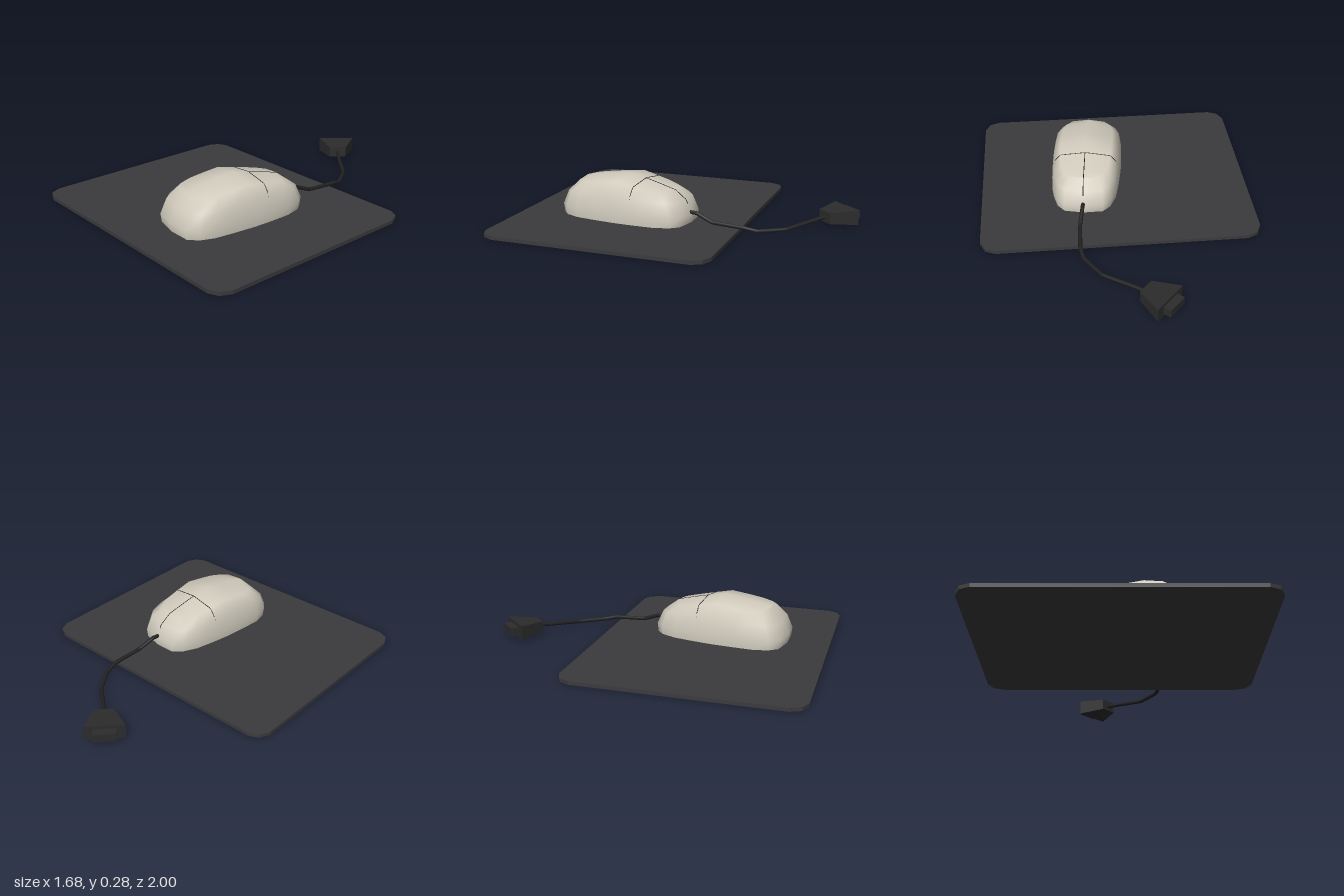
import * as THREE from 'three';
import { mergeVertices } from 'three/addons/utils/BufferGeometryUtils.js';

const paint = (color, opts = {}) => new THREE.MeshStandardMaterial({ color, ...opts });

function part(name, geometry, material) {
  const mesh = new THREE.Mesh(geometry, material);
  mesh.name = name;
  return mesh;
}

// Piecewise linear lookup in [[x, y], ...]
function lerpTable(table, x) {
  let i = 1;
  while (i < table.length - 1 && x > table[i][0]) i++;
  const [x0, y0] = table[i - 1], [x1, y1] = table[i];
  return y0 + (y1 - y0) * THREE.MathUtils.clamp((x - x0) / (x1 - x0), 0, 1);
}

// Flat mat with two-step corners
function matGeometry() {
  const w = 0.84, h = 0.685, corner = [[0, 0.09], [0.03, 0.027], [0.09, 0]];
  const pts = [];
  for (const [sx, sy] of [[1, 1], [-1, 1], [-1, -1], [1, -1]]) {
    const c = corner.map(([a, b]) => new THREE.Vector2(sx * (w - a), sy * (h - b)));
    pts.push(...(sx * sy > 0 ? c : c.reverse()));
  }
  const geo = new THREE.ExtrudeGeometry(new THREE.Shape(pts), { depth: 0.022, bevelEnabled: false });
  return geo.rotateX(-Math.PI / 2).translate(0, 0, 0.315);
}

// Mouse shell: plan outline stacked in shrinking rings up to a central ridge
function shellGeometry() {
  const half = [[0, -0.417], [0.12, -0.402], [0.167, -0.352], [0.2, -0.257], [0.214, -0.13],
    [0.222, -0.01], [0.221, 0.13], [0.216, 0.257], [0.189, 0.345], [0.141, 0.397], [0, 0.413]];
  const outline = [...half, ...half.slice(1, -1).reverse().map(([x, z]) => [-x, z])];
  const ridge = [[-0.31, 0.21], [-0.155, 0.25], [0, 0.285], [0.2, 0.258], [0.31, 0.236]];
  const shoulder = (x, z) => lerpTable(ridge, z) - 0.022 * (x / 0.16) ** 2;
  const rings = [
    (x, z) => [x * 0.98, 0.02, z * 0.985],
    (x, z) => [x, 0.075, z],
    (x, z) => [x * 0.94, 0.185 - 0.025 * (z / 0.4) ** 2, z * 0.91],
    (x, z) => [x * 0.74, shoulder(x * 0.74, z * 0.74), z * 0.74],
    (x, z) => [0, lerpTable(ridge, z * 0.74), z * 0.74],
  ];
  const n = outline.length, pos = [], index = [];
  rings.forEach((ring) => outline.forEach(([x, z]) => pos.push(...ring(x, z))));
  for (let i = 0; i < rings.length - 1; i++) {
    for (let k = 0; k < n; k++) {
      const a = i * n + k, b = i * n + (k + 1) % n;
      index.push(a, a + n, b, b, a + n, b + n);
    }
  }
  let geo = new THREE.BufferGeometry();
  geo.setAttribute('position', new THREE.Float32BufferAttribute(pos, 3));
  geo.setIndex(index);
  geo = mergeVertices(geo, 1e-4);
  geo.computeVertexNormals();
  return geo;
}

// Thin seam laid on the shell by dropping points from above
function seamGeometry(shell, from, to) {
  const ray = new THREE.Raycaster(), down = new THREE.Vector3(0, -1, 0), pts = [];
  for (let i = 0; i <= 24; i++) {
    const t = i / 24;
    const p = new THREE.Vector3(
      THREE.MathUtils.lerp(from[0], to[0], t), 1, THREE.MathUtils.lerp(from[1], to[1], t));
    ray.set(p, down);
    const hit = ray.intersectObject(shell)[0];
    if (hit) pts.push(hit.point);
  }
  return new THREE.TubeGeometry(new THREE.CatmullRomCurve3(pts), 48, 0.0025, 5);
}

// Plug body: box narrowing toward the cable end
function plugGeometry() {
  const geo = new THREE.BoxGeometry(0.229, 0.09, 0.163).toNonIndexed();
  const p = geo.attributes.position;
  for (let i = 0; i < p.count; i++) {
    if (p.getZ(i) < 0) p.setXY(i, p.getX(i) * 0.47, p.getY(i) * 0.74);
  }
  geo.computeVertexNormals();
  return geo;
}

export function createModel() {
  const model = new THREE.Group();
  const beige = paint(0xd2ccbe, { side: THREE.DoubleSide });
  const black = paint(0x222222);
  const plugGrey = paint(0x2c2c2d, { flatShading: true });

  model.add(part('mousePad', matGeometry(), paint(0x3b3b3d, { flatShading: true })));

  // Mouse, turned slightly on the pad
  const mouse = new THREE.Group();
  mouse.name = 'mouse';
  const shell = part('mouseShell', shellGeometry(), beige);
  mouse.add(
    shell,
    part('buttonCrossSeam', seamGeometry(shell, [-0.203, -0.11], [0.203, -0.11]), black),
    part('buttonCentreSeam', seamGeometry(shell, [0.001, -0.11], [0.001, -0.39]), black),
  );
  mouse.position.set(0.167, 0, 0.345);
  mouse.rotation.y = -0.119;
  model.add(mouse);

  // Cable with soft bends
  const path = [[0.212, 0.085, -0.03], [0.223, 0.085, -0.1], [0.243, 0.045, -0.206],
    [0.254, 0.035, -0.397], [0.238, 0.019, -0.476], [0.143, 0.017, -0.62],
    [0.005, 0.035, -0.73], [-0.09, 0.048, -0.81]].map((p) => new THREE.Vector3(...p));
  const curve = new THREE.CatmullRomCurve3(path, false, 'catmullrom', 0.12);
  model.add(part('cable', new THREE.TubeGeometry(curve, 80, 0.012, 8), black));

  // Plug at the cable end
  const plug = new THREE.Group();
  plug.name = 'plug';
  const socket = part('plugConnector', new THREE.BoxGeometry(0.13, 0.05, 0.06), plugGrey);
  socket.position.z = 0.1;
  plug.add(part('plugBody', plugGeometry(), plugGrey), socket);
  plug.position.set(-0.139, 0.05, -0.856);
  plug.rotation.y = Math.atan2(-0.737, -0.676);
  model.add(plug);

  return model;
}
